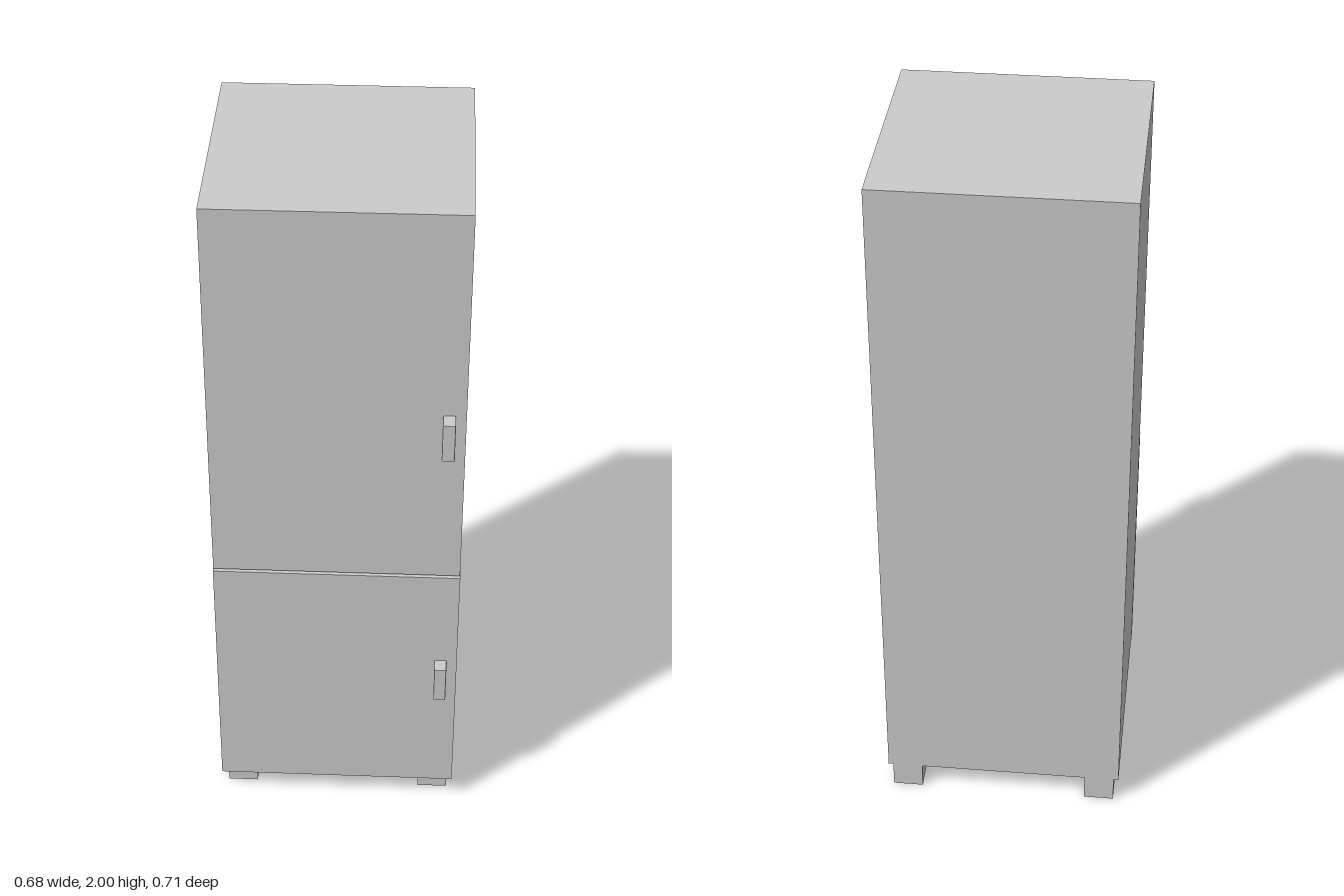
import * as THREE from 'three';

const grey = new THREE.MeshStandardMaterial({ color: 0xcccccc, flatShading: true });

// Box given by its minimum and maximum on each axis
function box(name, [x0, x1], [y0, y1], [z0, z1]) {
  const mesh = new THREE.Mesh(new THREE.BoxGeometry(x1 - x0, y1 - y0, z1 - z0), grey);
  mesh.position.set((x0 + x1) / 2, (y0 + y1) / 2, (z0 + z1) / 2);
  mesh.name = name;
  return mesh;
}

// Bow handle: side profile (depth, height) extruded across its width
function handle(name, y, z) {
  const profile = [
    [0, -0.057], [0.045, -0.057], [0.045, 0.057], [0, 0.057],
    [0, 0.039], [0.022, 0.046], [0.029, 0.036], [0.032, 0],
    [0.029, -0.036], [0.022, -0.046], [0, -0.039],
  ].map(([d, h]) => new THREE.Vector2(d, h));
  const width = 0.034, bevel = 0.003;
  const geometry = new THREE.ExtrudeGeometry(new THREE.Shape(profile), {
    depth: width - 2 * bevel, bevelEnabled: true, bevelSize: bevel,
    bevelOffset: -bevel, bevelThickness: bevel, bevelSegments: 2,
  });
  geometry.translate(0, 0, bevel - width / 2).rotateY(-Math.PI / 2);
  const mesh = new THREE.Mesh(geometry, grey);
  mesh.position.set(0.295, y, z);
  mesh.name = name;
  return mesh;
}

export function createModel() {
  const group = new THREE.Group();
  group.name = 'refrigerator';

  // Cabinet
  group.add(box('cabinet', [-0.34, 0.34], [0.077, 2], [-0.357, 0.27]));

  // Doors, separated by a narrow gap
  group.add(box('upperDoor', [-0.34, 0.34], [0.859, 2], [0.27, 0.312]));
  group.add(box('lowerDoor', [-0.341, 0.341], [0.075, 0.852], [0.27, 0.315]));

  // Handles on the model's left
  group.add(handle('upperHandle', 1.342, 0.312));
  group.add(handle('lowerHandle', 0.49, 0.312));

  // Runner feet along the full depth
  group.add(box('leftRunner', [0.24, 0.326], [0, 0.077], [-0.357, 0.27]));
  group.add(box('rightRunner', [-0.326, -0.24], [0, 0.077], [-0.357, 0.27]));

  return group;
}
